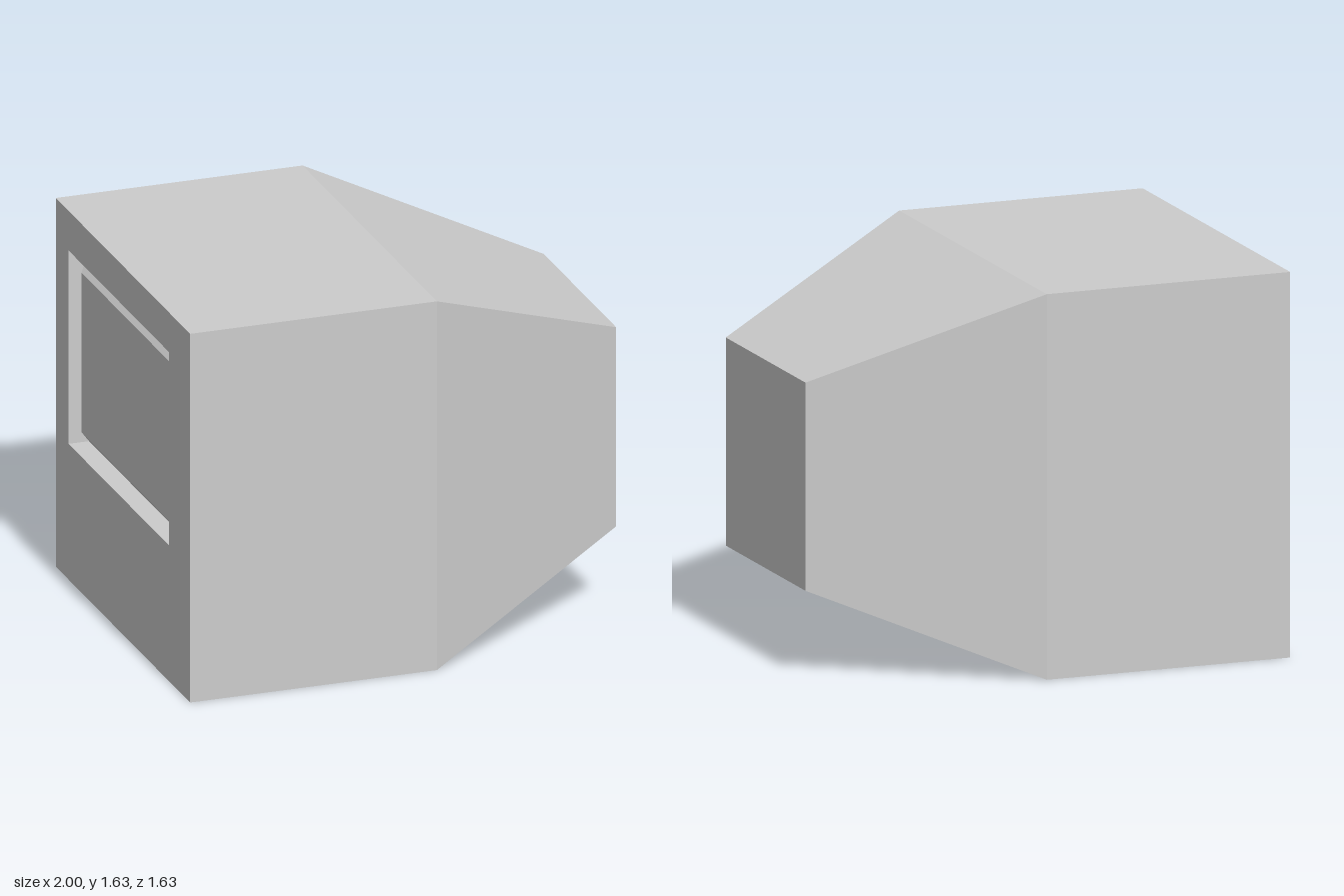
import * as THREE from 'three';

// Rectangular cross-section in the plane at x, corners counter-clockwise seen from -x
const ring = (x, y0, y1, z0, z1) => [[x, y0, z0], [x, y0, z1], [x, y1, z1], [x, y1, z0]];
const square = (x, half) => ring(x, 0.815 - half, 0.815 + half, -half, half);

// Joins successive rectangles with flat quads; optional caps at the first and last
function loft(name, rings, capFirst, capLast) {
  const pos = [];
  const quad = (a, b, c, d) => [a, b, c, a, c, d].forEach(p => pos.push(...p));
  for (let r = 0; r < rings.length - 1; r++) {
    const A = rings[r], B = rings[r + 1];
    for (let i = 0; i < 4; i++) {
      const j = (i + 1) % 4;
      quad(A[i], A[j], B[j], B[i]);
    }
  }
  if (capFirst) quad(...[...rings[0]].reverse());
  if (capLast) quad(...rings[rings.length - 1]);
  const geo = new THREE.BufferGeometry();
  geo.setAttribute('position', new THREE.Float32BufferAttribute(pos, 3));
  geo.computeVertexNormals();
  const mesh = new THREE.Mesh(geo, new THREE.MeshStandardMaterial({ color: 0xcccccc, flatShading: true }));
  mesh.name = name;
  return mesh;
}

export function createModel() {
  const group = new THREE.Group();
  group.name = 'monitor';

  // Screen opening, inset by b on every side
  const opening = (x, b = 0) => ring(x, 0.6 + b, 1.455 - b, -0.66 + b, 0.56 - b);
  const depth = 0.09, bulge = 0.06, bevel = 0.075;

  // Housing: tapered rear, straight front and the bezel around the opening
  group.add(loft('housing', [square(1, 0.44), square(0.08, 0.815), square(-1, 0.815), opening(-1)], true, false));

  // Walls running back from the bezel
  group.add(loft('screenRecess', [opening(-1), opening(-1 + depth)], false, false));

  // Raised screen with bevelled edges
  group.add(loft('screen', [opening(-1 + depth), opening(-1 + depth - bulge, bevel)], false, true));

  return group;
}
